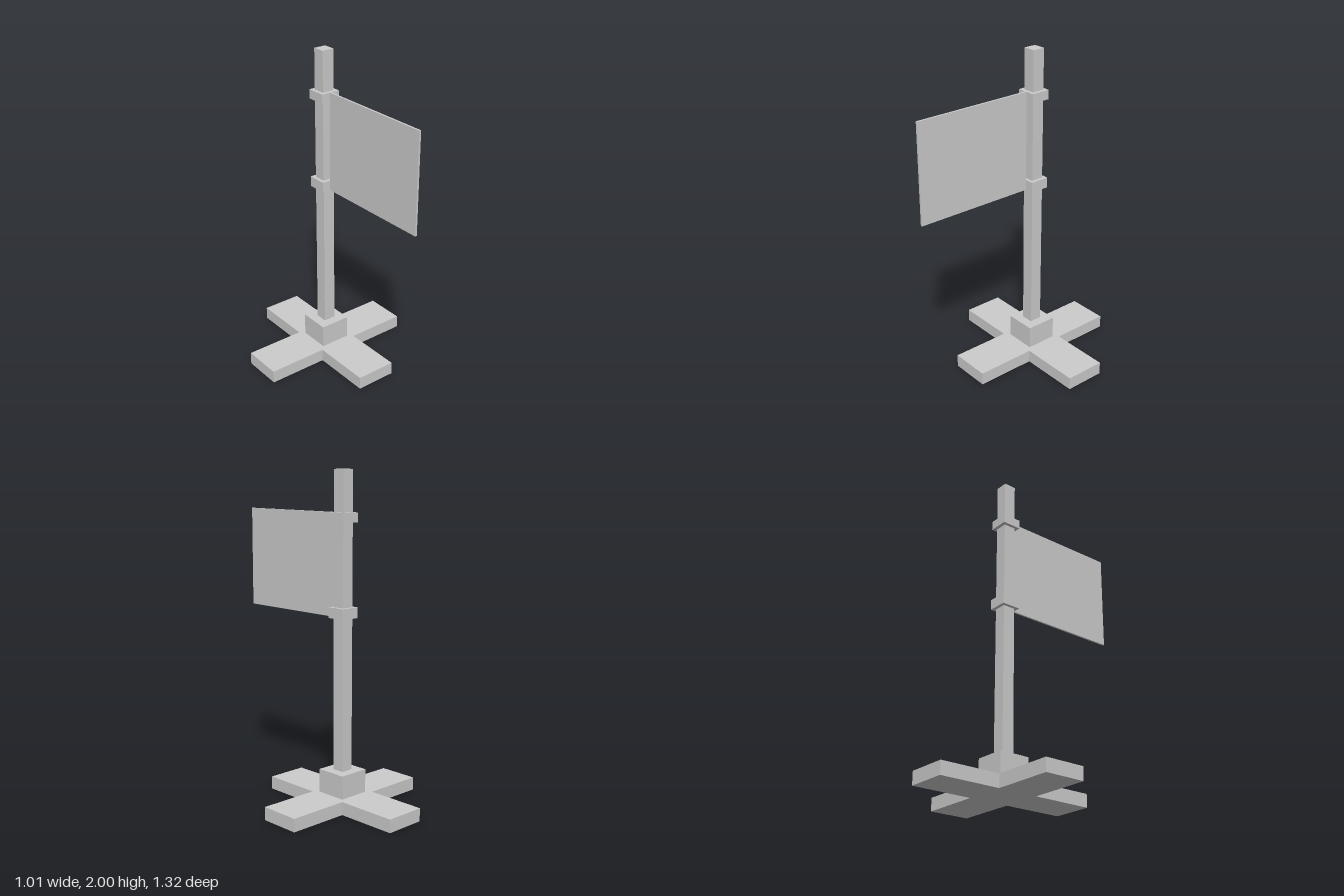
import * as THREE from 'three';

const POLE_Z = -0.155;
const material = new THREE.MeshStandardMaterial({ color: 0xcccccc, flatShading: true });

export function createModel() {
  const group = new THREE.Group();

  // Box given by its width, bottom and top heights, depth and centre z
  const box = (name, width, bottom, top, depth = width, z = POLE_Z) => {
    const mesh = new THREE.Mesh(new THREE.BoxGeometry(width, top - bottom, depth), material);
    mesh.name = name;
    mesh.position.set(0, (bottom + top) / 2, z);
    group.add(mesh);
  };

  // Cross-shaped foot: one arm outline repeated around the centre
  const reach = 0.505, half = 0.127, outline = [];
  for (let i = 0; i < 4; i++) {
    for (const [x, y] of [[half, -half], [reach, -half], [reach, half]]) {
      outline.push(new THREE.Vector2(x, y).rotateAround(new THREE.Vector2(), i * Math.PI / 2));
    }
  }
  const footGeometry = new THREE.ExtrudeGeometry(new THREE.Shape(outline), { depth: 0.08, bevelEnabled: false });
  footGeometry.rotateX(-Math.PI / 2);
  const foot = new THREE.Mesh(footGeometry, material);
  foot.name = 'crossFoot';
  foot.position.z = POLE_Z;
  group.add(foot);

  // Socket and square pole
  box('socket', 0.195, 0.08, 0.222);
  box('pole', 0.077, 0.222, 2);

  // Collars holding the flag
  box('lowerCollar', 0.12, 1.143, 1.207);
  box('upperCollar', 0.12, 1.699, 1.755);

  // Thin flag panel reaching forward from the collars
  box('flagPanel', 0.012, 1.143, 1.755, 0.752, 0.281);

  return group;
}
